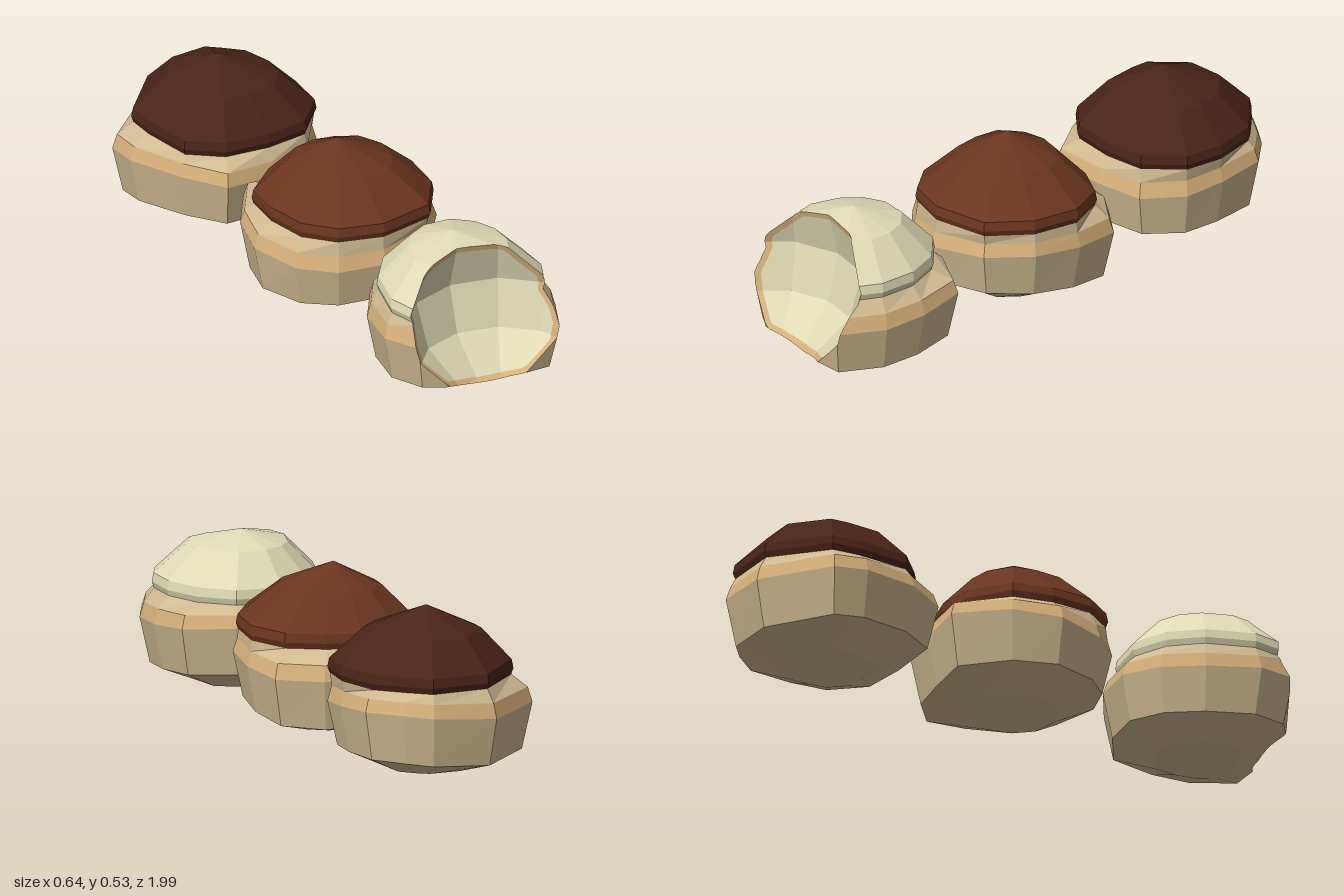
import * as THREE from 'three';

const COL = { base: 0xd0ba92, crust: 0xd6b07a, cream: 0xdedab5, milk: 0x6a3520, dark: 0x4a2418 };

// "edge": corners of the widest belt as x, z pairs, ordered from +x towards +z.
// "inset": icing rim radius relative to each belt corner; "crown": relative width of the upper icing ring;
// "tilt" and "footTilt": slope along z of the icing rim and of the lower edge.
const CAKES = [
  {
    name: 'darkMuffin', z: -0.68, top: COL.dark, apex: 0.53, crown: 0.63, tilt: 0, footTilt: 0.03,
    edge: [.3, .02, .28, .16, .18, .28, .02, .31, -.17, .32, -.26, .18, -.32, -.03, -.31, -.15, -.1, -.32, .12, -.31, .2, -.25, .29, -.15],
    inset: [1, 1, .95, .9, .8, .92, .81, .82, .89, .93, .9, .91],
  },
  {
    name: 'milkMuffin', z: 0.02, top: COL.milk, apex: 0.53, crown: 0.58, tilt: 0.02, footTilt: 0.06,
    edge: [.32, -.02, .29, .15, .18, .28, -.02, .32, -.17, .27, -.27, .17, -.32, 0, -.27, -.16, -.15, -.32, .02, -.31, .17, -.29, .3, -.19],
    inset: [.97, .97, 1, .97, .96, .9, .81, .88, .75, .84, .79, .84],
  },
  {
    name: 'bittenMuffin', z: 0.71, top: COL.cream, apex: 0.495, crown: 0.59, tilt: 0, footTilt: 0, bitten: true,
    edge: [.32, -.01, .3, .14, .22, .29, 0, .3, -.2, .25, -.27, .2, -.31, .06, -.26, -.12, -.17, -.24, -.03, -.3, .15, -.27, .3, -.18],
    inset: [.85, .88, .88, .9, .93, .96, .92, .89, .86, .86, .87, .76],
  },
];

// Triangles (arrays of three vectors) between consecutive rings, skipping collapsed ones
function loft(rings) {
  const tris = [];
  const add = (a, b, c) => {
    if (new THREE.Triangle(a, b, c).getArea() > 1e-7) tris.push([a, b, c]);
  };
  for (let r = 0; r + 1 < rings.length; r++) {
    const lo = rings[r], hi = rings[r + 1], n = lo.length;
    for (let i = 0; i < n; i++) {
      const j = (i + 1) % n;
      add(lo[i], hi[i], lo[j]);
      add(hi[i], hi[j], lo[j]);
    }
  }
  return tris;
}

// Splits every triangle into four, several times
function subdivide(tris, times) {
  for (let t = 0; t < times; t++) {
    tris = tris.flatMap(([a, b, c]) => {
      const ab = a.clone().lerp(b, 0.5), bc = b.clone().lerp(c, 0.5), ca = c.clone().lerp(a, 0.5);
      return [[a, ab, ca], [ab, b, bc], [ca, bc, c], [ab, bc, ca]];
    });
  }
  return tris;
}

// Keeps the part of the triangles where f is negative
function clip(tris, f) {
  return tris.flatMap((tri) => {
    const d = tri.map(f), poly = [];
    for (let i = 0; i < 3; i++) {
      const j = (i + 1) % 3;
      if (d[i] <= 0) poly.push(tri[i]);
      if (d[i] * d[j] < 0) poly.push(tri[i].clone().lerp(tri[j], d[i] / (d[i] - d[j])));
    }
    return poly.slice(2).map((p, i) => [poly[0], poly[i + 1], p]);
  });
}

function toMesh(name, tris, color) {
  const geo = new THREE.BufferGeometry().setFromPoints(tris.flat());
  geo.computeVertexNormals();
  const mesh = new THREE.Mesh(geo, new THREE.MeshStandardMaterial({ color, flatShading: true }));
  mesh.name = name;
  return mesh;
}

// Inward-facing triangles of the low-poly ball that takes the bite
function biteBall() {
  const geo = new THREE.SphereGeometry(0.315, 12, 6).toNonIndexed();
  geo.translate(-0.04, 0.32, 1.06);
  const pos = geo.getAttribute('position'), tris = [];
  for (let i = 0; i < pos.count; i += 3) {
    const [a, b, c] = [0, 1, 2].map((k) => new THREE.Vector3().fromBufferAttribute(pos, i + k));
    tris.push([a, c, b]);
  }
  return tris;
}

function muffin(spec) {
  const group = new THREE.Group();
  group.name = spec.name;

  const { edge, inset, tilt } = spec;
  const cap = edge.map((v, i) => v * inset[i >> 1]);
  const ring = (outline, scale, y, wobble = 0, slope = 0) => {
    const pts = [];
    for (let i = 0; i < outline.length; i += 2) {
      const x = outline[i] * scale, z = outline[i + 1] * scale;
      const dy = wobble * Math.sin(2 * Math.atan2(z, x) + spec.z * 5) + slope * z;
      pts.push(new THREE.Vector3(x, y + dy, z + spec.z));
    }
    return pts;
  };
  const foot = ring(edge, 0.9, 0.06, 0.01, spec.footTilt);
  const belt = ring(edge, 1, 0.215, 0.015);
  const shoulder = ring(edge, 0.955, 0.262, 0.01);
  const neck = ring(cap, 0.975, 0.298, 0, tilt);

  let parts = [
    ['cakeBase', loft([ring(edge, 0, 0), ring(edge, 0.46, 0), foot, belt]), COL.base],
    ['crustBand', loft([belt, shoulder]), COL.crust],
    ['collar', loft([shoulder, neck]), COL.base],
    ['icingCap', loft([
      neck,
      ring(cap, 1, 0.318, 0, tilt),
      ring(cap, 0.98, 0.348, 0, tilt),
      ring(cap, spec.crown, 0.453),
      ring(cap, 0, spec.apex),
    ]), spec.top],
  ];

  if (spec.bitten) {
    const whole = parts.flatMap((p) => p[1]);
    const ball = biteBall();

    // Positive inside the ball
    const planes = ball.filter(([a, b, c]) => new THREE.Triangle(a, b, c).getArea() > 1e-7)
      .map(([a, b, c]) => new THREE.Plane().setFromCoplanarPoints(a, b, c));
    const inBall = (p) => Math.min(...planes.map((pl) => pl.distanceToPoint(p)));

    // Distance beyond the muffin's skin, along a ray from its middle
    const heart = new THREE.Vector3(0.003, 0.25, spec.z + 0.002), hit = new THREE.Vector3();
    const beyond = (p) => {
      const ray = new THREE.Ray(heart, p.clone().sub(heart).normalize());
      let reach = 0;
      for (const [a, b, c] of whole) {
        if (ray.intersectTriangle(a, b, c, false, hit)) reach = Math.max(reach, hit.distanceTo(heart));
      }
      return p.distanceTo(heart) - reach;
    };

    parts = parts.map(([n, tris, c]) => [n, clip(subdivide(tris, 3), inBall), c]);
    // Bowl left by the bite, with a thin ring of crust around it
    const bowl = clip(subdivide(ball, 3), beyond);
    const depth = 0.02;
    parts.push(['biteCrumb', clip(bowl, (p) => beyond(p) + depth), COL.cream]);
    parts.push(['biteCrustRim', clip(bowl, (p) => -beyond(p) - depth), COL.crust]);
  }

  for (const part of parts) group.add(toMesh(...part));
  return group;
}

export function createModel() {
  const model = new THREE.Group();
  model.name = 'muffins';
  for (const spec of CAKES) model.add(muffin(spec));
  return model;
}
